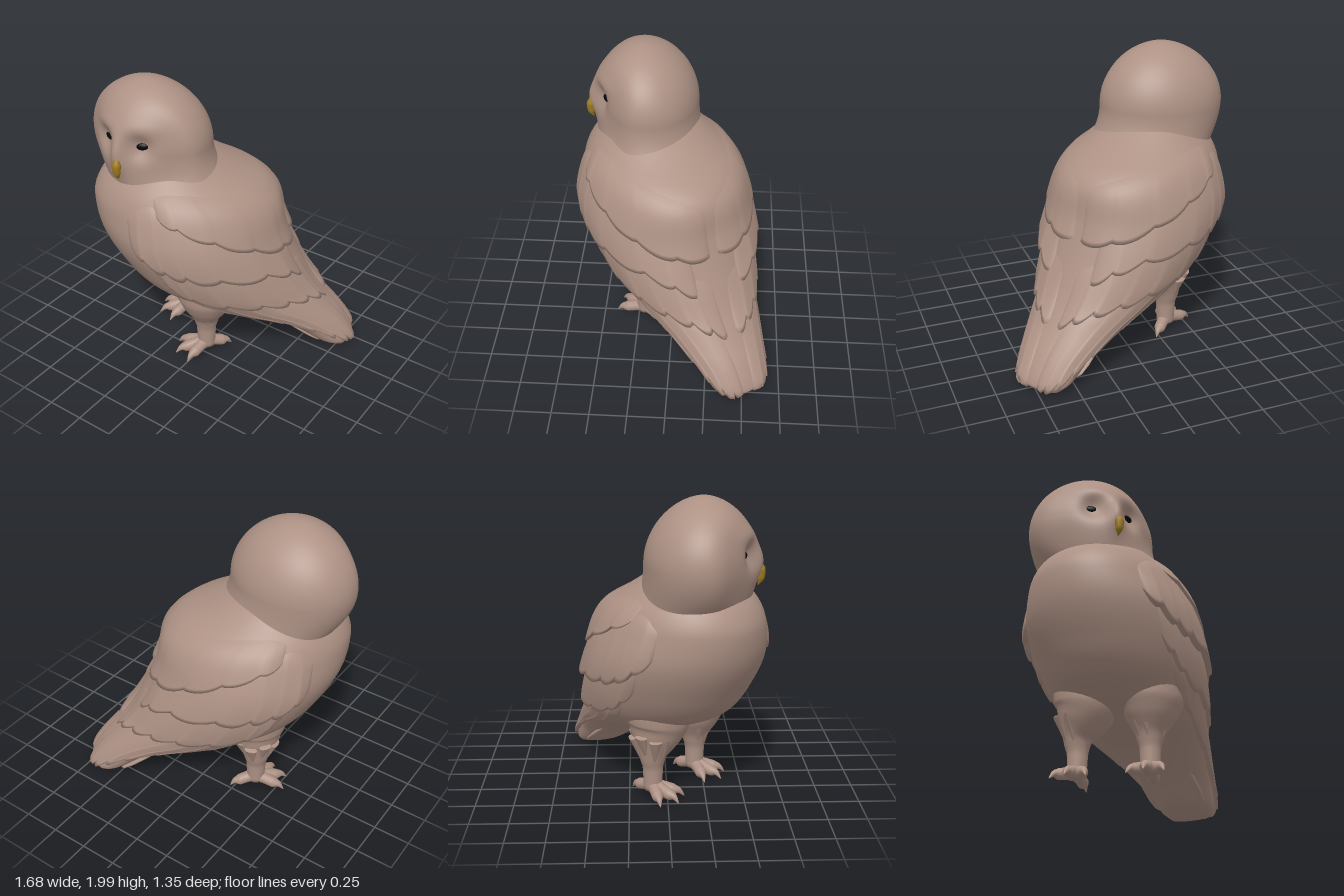
import * as THREE from 'three';

const V = (x, y, z) => new THREE.Vector3(x, y, z);

// Smooth surface from a grid of points; j runs counter-clockwise, i upward
function grid(ni, nj, wrap, fn) {
  const pos = [], idx = [], cols = wrap ? nj : nj + 1;
  for (let i = 0; i <= ni; i++)
    for (let j = 0; j < cols; j++) pos.push(...fn(i / ni, j / nj).toArray());
  for (let i = 0; i < ni; i++)
    for (let j = 0; j < nj; j++) {
      const k = (j + 1) % cols;
      const a = i * cols + j, b = i * cols + k, c = a + cols, d = b + cols;
      idx.push(a, b, c, b, d, c);
    }
  const g = new THREE.BufferGeometry();
  g.setAttribute('position', new THREE.Float32BufferAttribute(pos, 3));
  g.setIndex(idx);
  g.computeVertexNormals();
  return g;
}

// Round tube along a curve with a radius for each control point
function taper(points, radii, n = 20, sides = 14) {
  const curve = new THREE.CatmullRomCurve3(points);
  const fr = curve.computeFrenetFrames(n);
  return grid(n + 2, sides, true, (v, u) => {
    const row = Math.round(v * (n + 2)), k = Math.min(n, Math.max(0, row - 1));
    const t = curve.getUtoTmapping(k / n) * (radii.length - 1);
    const i = Math.min(radii.length - 2, Math.floor(t));
    const r = row === 0 || row === n + 2 ? 0 : THREE.MathUtils.lerp(radii[i], radii[i + 1], t - i);
    const q = u * Math.PI * 2;
    return curve.getPointAt(k / n)
      .addScaledVector(fr.normals[k], r * Math.cos(q))
      .addScaledVector(fr.binormals[k], r * Math.sin(q));
  });
}

// Body sections: height, front edge, back edge, half width
const SECTIONS = [
  [0.01, -0.78, -0.92, 0.15], [0.05, -0.65, -0.95, 0.19], [0.2, -0.42, -0.87, 0.24],
  [0.35, -0.1, -0.75, 0.32], [0.42, 0.14, -0.7, 0.37], [0.5, 0.38, -0.645, 0.42],
  [0.6, 0.56, -0.59, 0.475], [0.8, 0.71, -0.5, 0.53], [1.0, 0.81, -0.43, 0.545],
  [1.2, 0.84, -0.39, 0.505], [1.3, 0.81, -0.3, 0.465], [1.38, 0.75, -0.14, 0.4],
  [1.44, 0.67, -0.03, 0.34], [1.52, 0.55, 0.1, 0.26],
];

function section(y) {
  const S = SECTIONS, last = S.length - 1;
  y = THREE.MathUtils.clamp(y, S[0][0], S[last][0]);
  let i = 0;
  while (i < last - 1 && y > S[i + 1][0]) i++;
  const h = S[i + 1][0] - S[i][0], t = (y - S[i][0]) / h;
  const slope = (k, c) => {
    const a = S[Math.max(0, k - 1)], b = S[Math.min(last, k + 1)];
    return (b[c] - a[c]) / (b[0] - a[0]);
  };
  const value = (c) => {
    const t2 = t * t, t3 = t2 * t;
    return (2 * t3 - 3 * t2 + 1) * S[i][c] + (t3 - 2 * t2 + t) * h * slope(i, c)
      + (3 * t2 - 2 * t3) * S[i + 1][c] + (t3 - t2) * h * slope(i + 1, c);
  };
  return [value(1), value(2), value(3)];
}

// Point on the body, pushed outward; angle 0 is the breast, PI the back
function onBody(angle, y, out = 0) {
  const [f, b, a] = section(y);
  const depth = (f - b) / 2, s = Math.sin(angle), c = Math.cos(angle);
  const n = V(s / a, 0, c / depth).normalize();
  return V(-0.04 + a * s, y, (f + b) / 2 + depth * c).addScaledVector(n, out);
}

// Wing tiers from the longest feathers up to the shoulder:
// name, feathers, scallop depth, thickness, [angle, lower edge, upper edge]
const TIERS = [
  ['flightFeathers', 7, 0.05, 0.034, [[1.2, 0.62, 0.8], [1.5, 0.37, 0.7], [1.9, 0.18, 0.6], [2.4, 0.08, 0.5], [2.95, 0.06, 0.45]]],
  ['lowerCoverts', 8, 0.04, 0.04, [[1.08, 0.82, 1.0], [1.35, 0.65, 0.95], [2.0, 0.56, 0.85], [2.6, 0.49, 0.8], [3.05, 0.4, 0.75]]],
  ['middleCoverts', 7, 0.04, 0.055, [[0.95, 1.06, 1.24], [1.25, 0.91, 1.33], [1.6, 0.86, 1.25], [2.4, 0.79, 1.05], [2.85, 0.66, 1.0]]],
  ['shoulderFeathers', 5, 0.025, 0.04, [[1.3, 1.28, 1.37], [1.6, 1.19, 1.39], [2.07, 1.06, 1.37], [2.6, 0.93, 1.32], [3.1, 0.89, 1.25]]],
];

function wingTier(side, feathers, scallop, thick, points) {
  const curve = new THREE.CatmullRomCurve3(points.map((p) => V(...p)));
  const rows = 14;
  return grid(rows, feathers * 10, false, (v, u) => {
    const s = side > 0 ? u : 1 - u;
    const p = curve.getPoint(s), f = (s * feathers) % 1;
    const row = Math.round(v * rows);
    const t = 1 - Math.max(0, row - 1) / (rows - 1);
    const low = p.y - scallop * (1 - (2 * f - 1) ** 2);
    const ends = Math.sqrt(Math.min(1, s * 7, (1 - s) * 7));
    const out = row === 0 ? -0.015 : -0.006 + (thick + 0.006 * f) * Math.pow(t, 0.6) * ends;
    const q = onBody(p.x, Math.max(0.012, THREE.MathUtils.lerp(p.z, low, t)), out);
    if (side < 0) q.x = -0.08 - q.x;
    return q;
  });
}

// Round head with flattened face discs, brows and a ridge above the beak,
// flaring at the nape into the back
function headPoint(v, u) {
  const y = v < 0.4 ? 1.3 + v * 0.75 : 1.6 + 0.4 * Math.sin((v - 0.4) / 0.6 * Math.PI / 2);
  const t = (y - 1.6) / 0.4, q = u * Math.PI * 2;
  const r = t > 0 ? Math.pow(Math.max(0, 1 - t * t), 0.56) : 1 + 0.6 * t * t * Math.cos(q - 1.95);
  const p = V(-0.41 + 0.425 * r * Math.sin(q), y, 0.2 + 0.02 * Math.max(0, t) + 0.35 * r * Math.cos(q));
  if (Math.cos(q) > 0) {
    const dx = p.x + 0.4, ax = Math.abs(dx);
    const bump = (x, sx, dy, sy) => Math.exp(-x * x / sx - dy * dy / sy);
    const face = Math.exp(-Math.pow((y - 1.6) / 0.25, 4));
    p.z += -0.05 * face * Math.sin(2 * q) ** 2
      - 0.06 * bump(ax - 0.125, 0.006, y - 1.65, 0.007)
      + 0.045 * bump(dx, 0.003, y - 1.6, 0.014)
      + 0.015 * bump(ax - 0.14, 0.012, y - 1.77, 0.003);
  }
  return p;
}

export function createModel() {
  const plumage = new THREE.MeshStandardMaterial({ color: 0xad9184 });
  const horn = new THREE.MeshStandardMaterial({ color: 0x9c7a20 });
  const black = new THREE.MeshStandardMaterial({ color: 0x060606 });
  plumage.name = 'plumage';
  horn.name = 'horn';
  black.name = 'black';

  const owl = new THREE.Group();
  owl.name = 'owl';
  const add = (parent, name, geometry, material = plumage) => {
    const m = new THREE.Mesh(geometry, material);
    m.name = name;
    parent.add(m);
    return m;
  };

  // Body, wings and tail share a frame turned away from the face
  const trunk = new THREE.Group();
  trunk.name = 'trunk';
  trunk.rotation.y = -1;
  owl.add(trunk);
  add(trunk, 'body', grid(72, 72, true, (v, u) => {
    const k = Math.round(v * 72);
    const y = 0.01 + 1.51 * Math.pow((Math.min(71, Math.max(1, k)) - 1) / 70, 1.25);
    const p = onBody(u * Math.PI * 2, y);
    if (k > 0 && k < 72) return p;
    const [f, b] = section(y);
    return V(-0.04, y, (f + b) / 2);
  }));

  for (const [side, label] of [[1, 'left'], [-1, 'right']]) {
    const wing = new THREE.Group();
    wing.name = label + 'Wing';
    trunk.add(wing);
    for (const [name, ...shape] of TIERS) add(wing, name, wingTier(side, ...shape));
  }

  // Long feathers fanned under the tail
  for (let i = -2; i <= 2; i++) {
    const feather = add(trunk, 'tailFeather', new THREE.SphereGeometry(1, 16, 12));
    feather.scale.set(0.06, 0.025, 0.33);
    feather.position.set(-0.05 + i * 0.07, 0.225 + 0.012 * Math.abs(i), -0.45);
    feather.rotation.set(-0.62, -i * 0.06, 0, 'YXZ');
  }

  // Head
  const head = new THREE.Group();
  head.name = 'head';
  owl.add(head);
  add(head, 'skull', grid(72, 112, true, headPoint));
  for (const s of [-1, 1]) {
    const eye = add(head, 'eye', new THREE.SphereGeometry(1, 20, 14), black);
    eye.scale.set(0.046, 0.027, 0.024);
    eye.position.set(-0.405 + s * 0.125, 1.652, 0.45);
    eye.rotation.set(0, s * 0.35, s * 0.12);
  }
  add(head, 'beak', taper(
    [V(-0.388, 1.6, 0.56), V(-0.388, 1.54, 0.578), V(-0.388, 1.48, 0.577), V(-0.388, 1.437, 0.562)],
    [0.008, 0.03, 0.024, 0.002]), horn);

  // Legs with thighs leaning into the belly, feathered cuffs and toes
  for (const [label, x, z, yaw, lean] of [['left', 0.015, 0.2, -0.68, 0.01], ['right', -0.35, -0.095, -0.75, 0.05]]) {
    const leg = new THREE.Group();
    leg.name = label + 'Leg';
    leg.position.set(x, 0, z);
    leg.rotation.y = yaw;
    owl.add(leg);
    add(leg, 'thigh', taper(
      [V(0, 0.05, 0), V(0, 0.13, 0), V(0, 0.21, 0), V(0, 0.3, 0), V(lean * 0.5, 0.4, 0), V(lean, 0.5, 0), V(lean, 0.62, 0), V(lean, 0.8, -0.02)],
      [0.06, 0.064, 0.068, 0.095, 0.16, 0.205, 0.215, 0.1], 32, 28));
    for (let i = 0; i < 9; i++) {
      const q = i / 9 * Math.PI * 2;
      const tuft = add(leg, 'cuffFeather', new THREE.ConeGeometry(0.045, 0.19, 10));
      tuft.scale.z = 0.45;
      tuft.position.set(0.11 * Math.sin(q), 0.34 + 0.025 * (i % 2), 0.11 * Math.cos(q));
      tuft.rotation.set(Math.PI + 0.35, q, 0, 'YXZ');
    }
    for (const [angle, size] of [[-0.6, 0.97], [0, 1.05], [0.6, 0.97], [Math.PI, 0.85]]) {
      const along = (d, y) => V(d * size * Math.sin(angle), y, d * size * Math.cos(angle));
      add(leg, 'toe', taper(
        [along(0, 0.075), along(0.07, 0.064), along(0.14, 0.048), along(0.175, 0.044), along(0.215, 0.008)],
        [0.05, 0.04, 0.038, 0.022, 0.003]));
    }
  }
  return owl;
}
